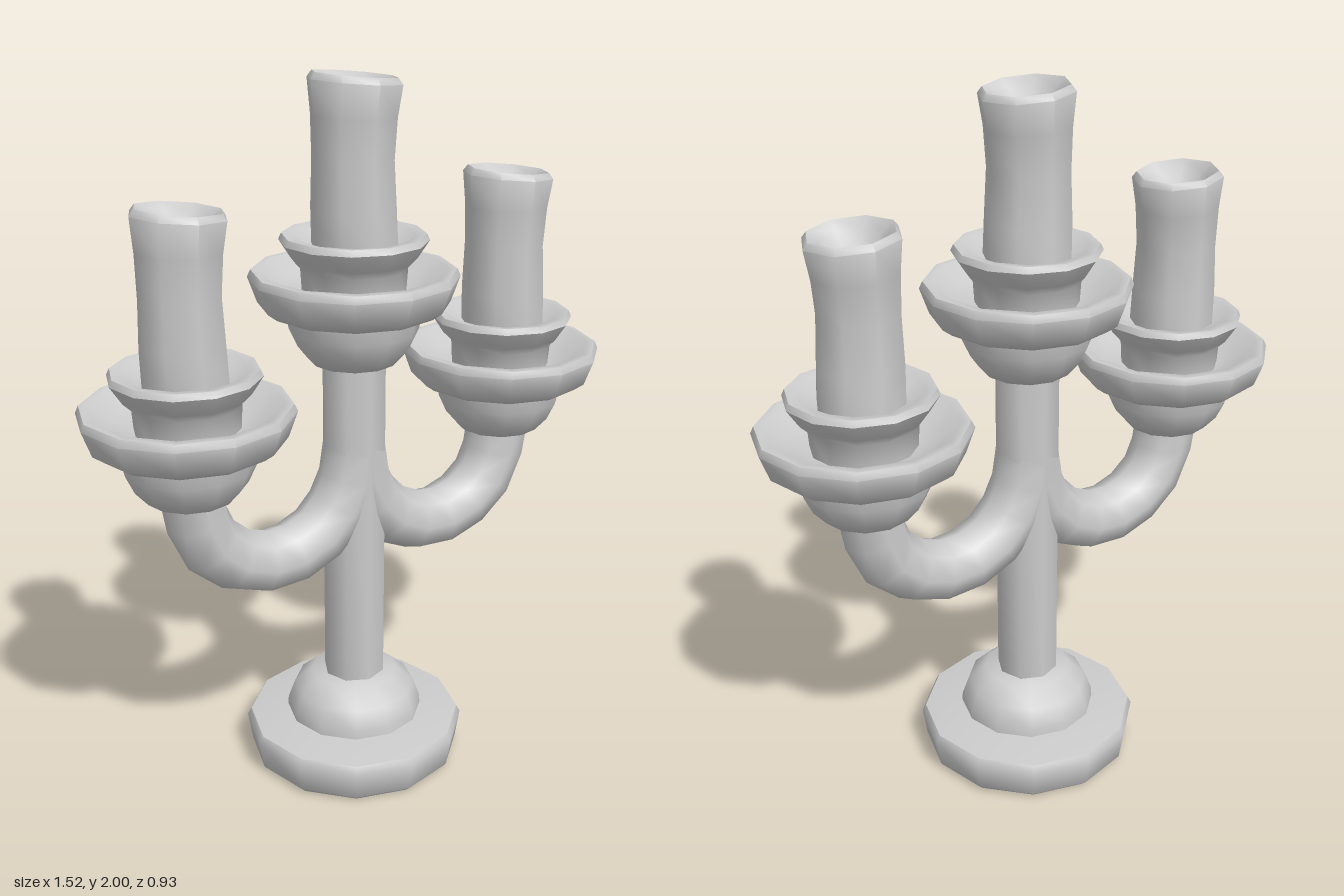
import * as THREE from 'three';
import { toCreasedNormals } from 'three/addons/utils/BufferGeometryUtils.js';

const material = new THREE.MeshStandardMaterial({ color: 0xcccccc });

function part(name, geometry, crease = 0.9) {
  const mesh = new THREE.Mesh(toCreasedNormals(geometry, crease), material);
  mesh.name = name;
  return mesh;
}

// Turned part from [radius, height] pairs, bottom to top
function turned(name, profile, sides, spin, deform) {
  const g = new THREE.LatheGeometry(profile.map(([r, y]) => new THREE.Vector2(r, y)), sides);
  g.rotateY(spin);
  if (deform) {
    const p = g.attributes.position;
    const v = new THREE.Vector3();
    for (let i = 0; i < p.count; i++) {
      deform(v.fromBufferAttribute(p, i));
      p.setXYZ(i, v.x, v.y, v.z);
    }
  }
  return part(name, g);
}

// Uneven molten top of a candle
function melt(v) {
  const t = Math.max(0, (v.y - 0.6) / 0.16);
  v.y += t * (-0.085 * v.x - 0.03 * v.z);
  v.x += 0.006 * Math.sin(v.y * 9);
}

// Cup, dish, collar and candle; y = 0 is the underside of the cup
function candleHolder(name) {
  const group = new THREE.Group();
  group.name = name;
  group.add(
    turned('cup', [[0, 0], [0.12, 0], [0.155, 0.04], [0.178, 0.09], [0.187, 0.15], [0, 0.15]], 12, 0.15),
    turned('dish', [[0, 0.145], [0.235, 0.145], [0.262, 0.165], [0.287, 0.235], [0.278, 0.255],
      [0.255, 0.255], [0.2, 0.205], [0.13, 0.19], [0, 0.19]], 12, 0.15),
    turned('collar', [[0.14, 0.18], [0.145, 0.26], [0.17, 0.285], [0.202, 0.335], [0.194, 0.352],
      [0.165, 0.348], [0.125, 0.32], [0, 0.32]], 12, 0.1),
    turned('candle', [[0.12, 0.31], [0.118, 0.42], [0.112, 0.55], [0.117, 0.66], [0.128, 0.745],
      [0.115, 0.762], [0.085, 0.74], [0.055, 0.7], [0, 0.685]], 8, Math.PI / 8, melt),
  );
  return group;
}

// Curved arm, swept from the stem to the cup in the x direction
function arm(name) {
  const path = new THREE.CatmullRomCurve3([
    [0, 0.98], [0.025, 0.86], [0.11, 0.745], [0.25, 0.692], [0.385, 0.725], [0.475, 0.815], [0.508, 0.96],
  ].map(([x, y]) => new THREE.Vector3(x, y, 0)));
  return part(name, new THREE.TubeGeometry(path, 9, 0.09, 8), 1.1);
}

export function createModel() {
  const model = new THREE.Group();
  model.name = 'candelabra';

  // Foot and stem
  model.add(
    turned('base', [[0, 0], [0.295, 0], [0.31, 0.015], [0.323, 0.1], [0.312, 0.12], [0.2, 0.135], [0, 0.135]], 12, 0.15),
    turned('baseDome', [[0.2, 0.12], [0.198, 0.16], [0.178, 0.215], [0.125, 0.262], [0, 0.268]], 12, 0.15),
    turned('stem', [[0.09, 0.24], [0.09, 1.25]], 8, Math.PI / 8),
  );

  const centre = candleHolder('centreHolder');
  centre.position.y = 1.232;
  model.add(centre);

  // Two opposite branches, turned a little about the stem
  for (const [side, label] of [[1, 'left'], [-1, 'right']]) {
    const branchArm = arm(label + 'Arm');
    branchArm.rotation.y = -Math.atan2(0.18, 0.475) + (side < 0 ? Math.PI : 0);
    const holder = candleHolder(label + 'Holder');
    holder.position.set(0.475 * side, 0.943, 0.18 * side);
    model.add(branchArm, holder);
  }
  return model;
}
